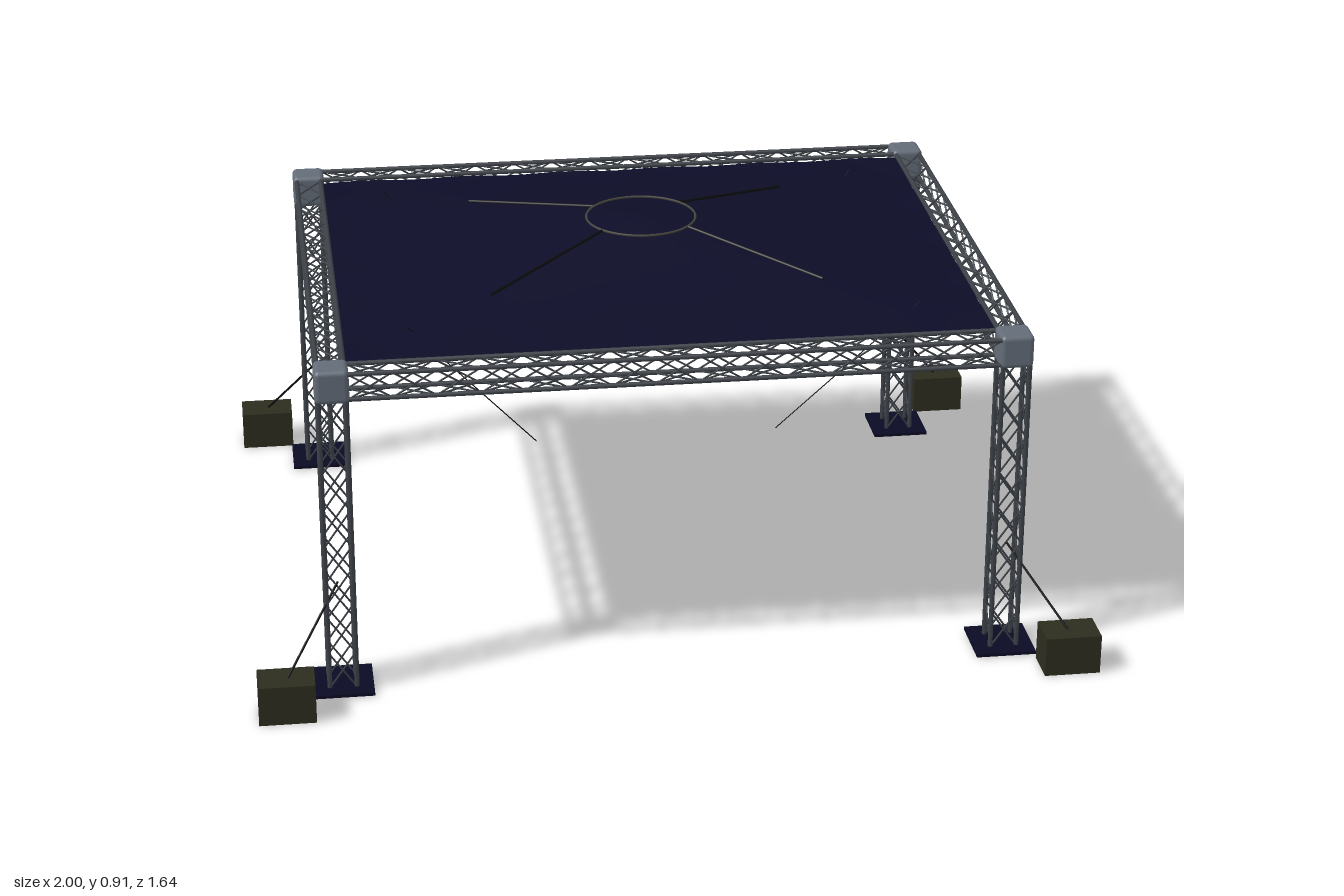
import * as THREE from 'three';
import { mergeGeometries } from 'three/addons/utils/BufferGeometryUtils.js';
import { RoundedBoxGeometry } from 'three/addons/geometries/RoundedBoxGeometry.js';

const material = (name, color, side = THREE.FrontSide) => {
  const m = new THREE.MeshStandardMaterial({ color, side });
  m.name = name;
  return m;
};
const V = (x, y, z) => new THREE.Vector3(x, y, z);

// Round bar between two points
function rod(a, b, r, sides = 5) {
  const dir = b.clone().sub(a);
  const g = new THREE.CylinderGeometry(r, r, dir.length(), sides);
  g.applyQuaternion(new THREE.Quaternion().setFromUnitVectors(V(0, 1, 0), dir.normalize()));
  const mid = a.clone().add(b).multiplyScalar(0.5);
  return g.translate(mid.x, mid.y, mid.z);
}

// Chords and crossed lacing of a square box truss standing along +y
function trussGeometries(length, width, bays) {
  const h = width / 2 - 0.006;
  const corners = [[h, h], [-h, h], [-h, -h], [h, -h]];
  const chords = [], lacing = [];
  corners.forEach(([x, z], i) => {
    const [x2, z2] = corners[(i + 1) % 4];
    chords.push(rod(V(x, 0, z), V(x, length, z), 0.006, 8));
    for (let k = 0; k < bays; k++) {
      const y0 = length * k / bays, y1 = length * (k + 1) / bays;
      lacing.push(rod(V(x, y0, z), V(x2, y1, z2), 0.0024));
      lacing.push(rod(V(x2, y0, z2), V(x, y1, z), 0.0024));
    }
  });
  return [mergeGeometries(chords), mergeGeometries(lacing)];
}

export function createModel() {
  const model = new THREE.Group();
  model.name = 'trussCanopy';

  const steel = material('trussSteel', 0x3c4147);
  const block = material('cornerGrey', 0x636c78);
  const navy = material('canopyNavy', 0x0d0d28, THREE.DoubleSide);
  const plateNavy = material('plateNavy', 0x0a0a24);
  const ballast = material('ballastOlive', 0x2c2c1e);
  const black = material('cableBlack', 0x0c0c0e);
  const ringGrey = material('ringGrey', 0x45453f);

  const add = (name, geometry, mat, parent = model) => {
    const mesh = new THREE.Mesh(geometry, mat);
    mesh.name = name;
    parent.add(mesh);
    return mesh;
  };
  const addTruss = (name, length, bays, width) => {
    const group = new THREE.Group();
    group.name = name;
    const [chords, lacing] = trussGeometries(length, width, bays);
    add(name + 'Chords', chords, steel, group);
    add(name + 'Lacing', lacing, steel, group);
    model.add(group);
    return group;
  };

  const TX = 0.797, TZ = 0.64, BEAM_Y = 0.782;

  // Four corners: tower, foot plate, corner block, ballast and cables
  for (const sx of [-1, 1]) for (const sz of [-1, 1]) {
    const name = (sz > 0 ? 'front' : 'back') + (sx > 0 ? 'Left' : 'Right');
    addTruss(name + 'Tower', 0.74, 8, 0.076).position.set(sx * TX, 0.008, sz * TZ);

    add(name + 'FootPlate', new THREE.BoxGeometry(0.145, 0.008, 0.145), plateNavy)
      .position.set(sx * TX, 0.006, sz * TZ);
    add(name + 'CornerBlock', new RoundedBoxGeometry(0.08, 0.082, 0.08, 3, 0.012), block)
      .position.set(sx * TX, 0.783, sz * TZ);
    add(name + 'Ballast', new THREE.BoxGeometry(0.134, 0.098, 0.094), ballast)
      .position.set(sx * 0.933, 0.049, sz * 0.773);

    add(name + 'BallastCable',
      rod(V(sx * 0.8, 0.275, sz * 0.645), V(sx * 0.93, 0.095, sz * 0.775), 0.003), black);
    add(name + 'HipPole',
      rod(V(sx * 0.106, 0.905, sz * 0.085), V(sx * 0.4, 0.846, sz * 0.317), 0.0035), black);
    add(name + 'HangingCable',
      rod(V(sx * 0.61, 0.832, sz * 0.455), V(sx * 0.295, 0.447, sz * 0.295), 0.0014), black);
  }

  // Horizontal beams between the corner blocks
  for (const s of [-1, 1]) {
    const long = addTruss(s > 0 ? 'frontBeam' : 'backBeam', 1.52, 15, 0.074);
    long.rotation.z = -Math.PI / 2;
    long.position.set(-0.76, BEAM_Y, s * TZ);
    const short = addTruss(s > 0 ? 'leftBeam' : 'rightBeam', 1.2, 12, 0.074);
    short.rotation.x = Math.PI / 2;
    short.position.set(s * TX, BEAM_Y, -0.6);
  }

  // Peaked fabric roof, concave towards its gently rippled edge
  const roof = new THREE.PlaneGeometry(1.53, 1.21, 48, 40).rotateX(-Math.PI / 2);
  const p = roof.attributes.position;
  for (let i = 0; i < p.count; i++) {
    const x = p.getX(i), z = p.getZ(i);
    const u = Math.abs(x) / 0.765, v = Math.abs(z) / 0.605;
    const d = Math.min(1, Math.pow(u ** 8 + v ** 8, 1 / 8));
    const ripple = 0.005 * d ** 8 * Math.cos(x * 24) * Math.cos(z * 24);
    p.setY(i, 0.806 + 0.107 * Math.pow(1 - d, 1.3) + ripple);
  }
  roof.computeVertexNormals();
  add('canopyRoof', roof, navy);

  // Crown ring around the peak
  add('crownRing', new THREE.TorusGeometry(0.135, 0.003, 6, 48).rotateX(Math.PI / 2), ringGrey)
    .position.y = 0.906;

  return model;
}
